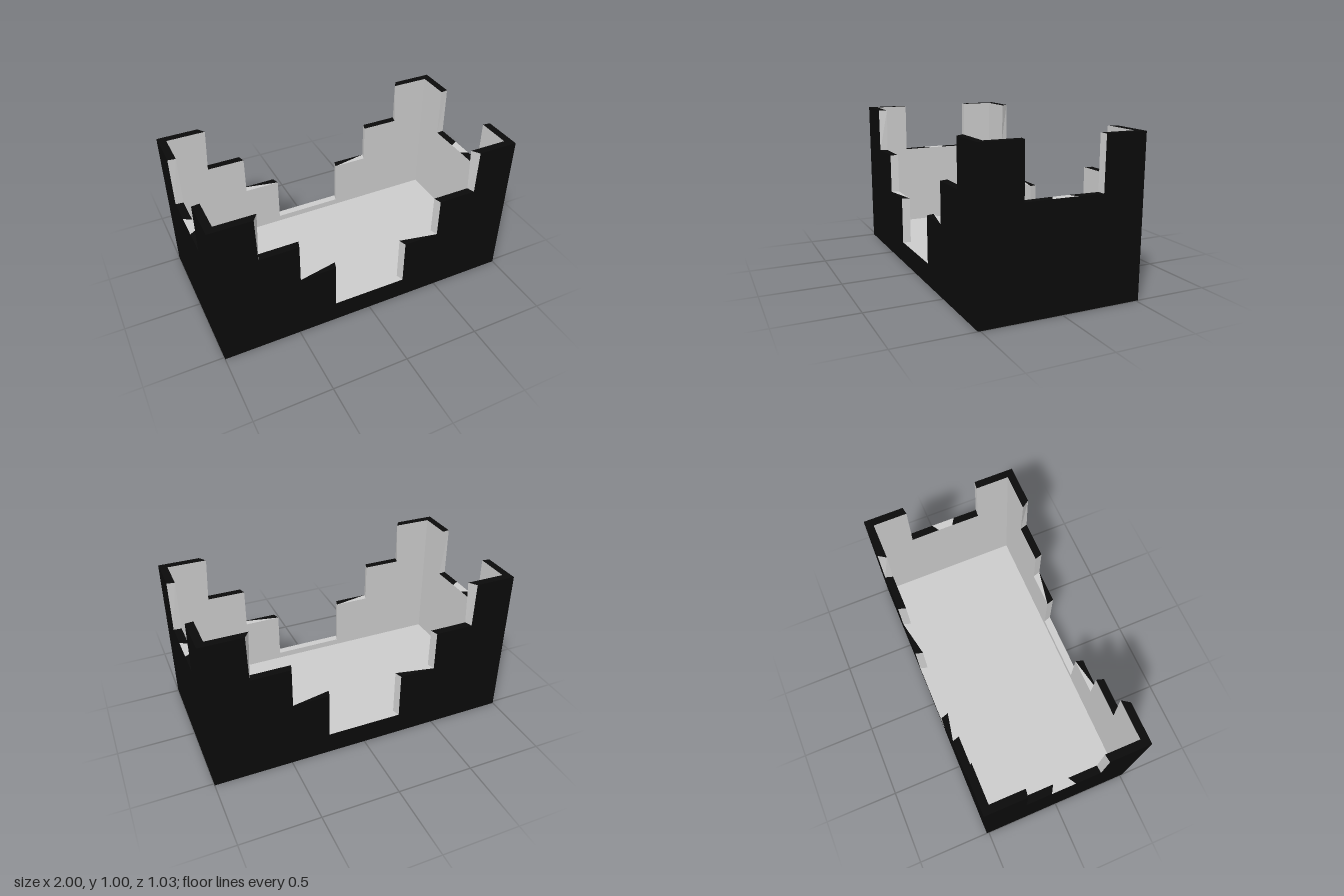
import * as THREE from 'three';

const HALF_X = 1, HALF_Z = 0.515, THICK = 0.05, FLOOR_Y = 0.1;
const black = new THREE.MeshStandardMaterial({ color: 0x0a0a0a });
const grey = new THREE.MeshStandardMaterial({ color: 0xcccccc });

// Half profiles of the wall tops, from the corner to the centre:
// [outer u, inner u, y, kind of the edge that follows]
const longHalf = [
  [1, 0.95, 1, 'black'],
  [0.735, 0.7, 1, 'grey'],
  [0.73, 0.715, 0.71, 'black'],
  [0.48, 0.465, 0.71, 'grey'],
  [0.48, 0.465, 0.45, 'split'],
  [0.245, 0.23, 0.45, 'grey'],
  [0.245, 0.23, 0.142, 'grey'],
];
const shortHalf = [
  [0.515, 0.465, 1, 'black'],
  [0.25, 0.243, 1, 'grey'],
  [0.247, 0.243, 0.668, 'black'],
  [0.08, 0.05, 0.67, 'grey'],
];

function trianglesToMesh(points, material, name) {
  const g = new THREE.BufferGeometry().setFromPoints(points);
  g.computeVertexNormals();
  const mesh = new THREE.Mesh(g, material);
  mesh.name = name;
  return mesh;
}

// Mitred wall facing +z: dark outer skin, grey lining, and a rim joining them
function makeWall(half, dist, name) {
  const wall = new THREE.Group();
  wall.name = name;
  const n = half.length;
  const profile = (column, z) => [
    ...half.map((p) => new THREE.Vector3(p[column], p[2], z)),
    ...half.slice().reverse().map((p) => new THREE.Vector3(-p[column], p[2], z)),
  ];
  const outer = profile(0, dist);
  const inner = profile(1, dist - THICK);

  const face = (pts, baseY) => new THREE.ShapeGeometry(new THREE.Shape([
    new THREE.Vector2(pts[2 * n - 1].x, baseY),
    new THREE.Vector2(pts[0].x, baseY),
    ...pts.map((p) => new THREE.Vector2(p.x, p.y)),
  ]));
  const skin = new THREE.Mesh(face(outer, 0).translate(0, 0, dist), black);
  skin.name = 'outerSkin';
  const lining = new THREE.Mesh(
    face(inner, FLOOR_Y).rotateY(Math.PI).translate(0, 0, dist - THICK), grey);
  lining.name = 'innerLining';

  // Rim: treads are dark, step sides and sill are grey, some treads are split
  const tris = { black: [], grey: [] };
  for (let i = 0; i < 2 * n - 1; i++) {
    const right = i < n;
    const kind = half[right ? i : 2 * n - 2 - i][3];
    const [a, b, c, d] = [outer[i], inner[i], inner[i + 1], outer[i + 1]];
    if (kind !== 'split') {
      tris[kind].push(a, b, c, a, c, d);
    } else if (right) {
      tris.grey.push(a, b, c);
      tris.black.push(a, c, d);
    } else {
      tris.grey.push(b, c, d);
      tris.black.push(a, b, d);
    }
  }
  wall.add(skin, lining,
    trianglesToMesh(tris.black, black, 'rimTreads'),
    trianglesToMesh(tris.grey, grey, 'rimSides'));
  return wall;
}

export function createModel() {
  const model = new THREE.Group();
  model.name = 'steppedBox';

  // Four walls around the box
  [
    [longHalf, HALF_Z, 'frontWall', 0],
    [shortHalf, HALF_X, 'leftWall', Math.PI / 2],
    [longHalf, HALF_Z, 'backWall', Math.PI],
    [shortHalf, HALF_X, 'rightWall', -Math.PI / 2],
  ].forEach(([half, dist, name, angle]) => {
    const wall = makeWall(half, dist, name);
    wall.rotation.y = angle;
    model.add(wall);
  });

  // Grey floor inside
  const floor = new THREE.Mesh(
    new THREE.PlaneGeometry(2 * (HALF_X - THICK), 2 * (HALF_Z - THICK))
      .rotateX(-Math.PI / 2).translate(0, FLOOR_Y, 0), grey);
  floor.name = 'floor';

  // Dark underside
  const base = new THREE.Mesh(
    new THREE.PlaneGeometry(2 * HALF_X, 2 * HALF_Z).rotateX(Math.PI / 2), black);
  base.name = 'underside';

  model.add(floor, base);
  return model;
}
